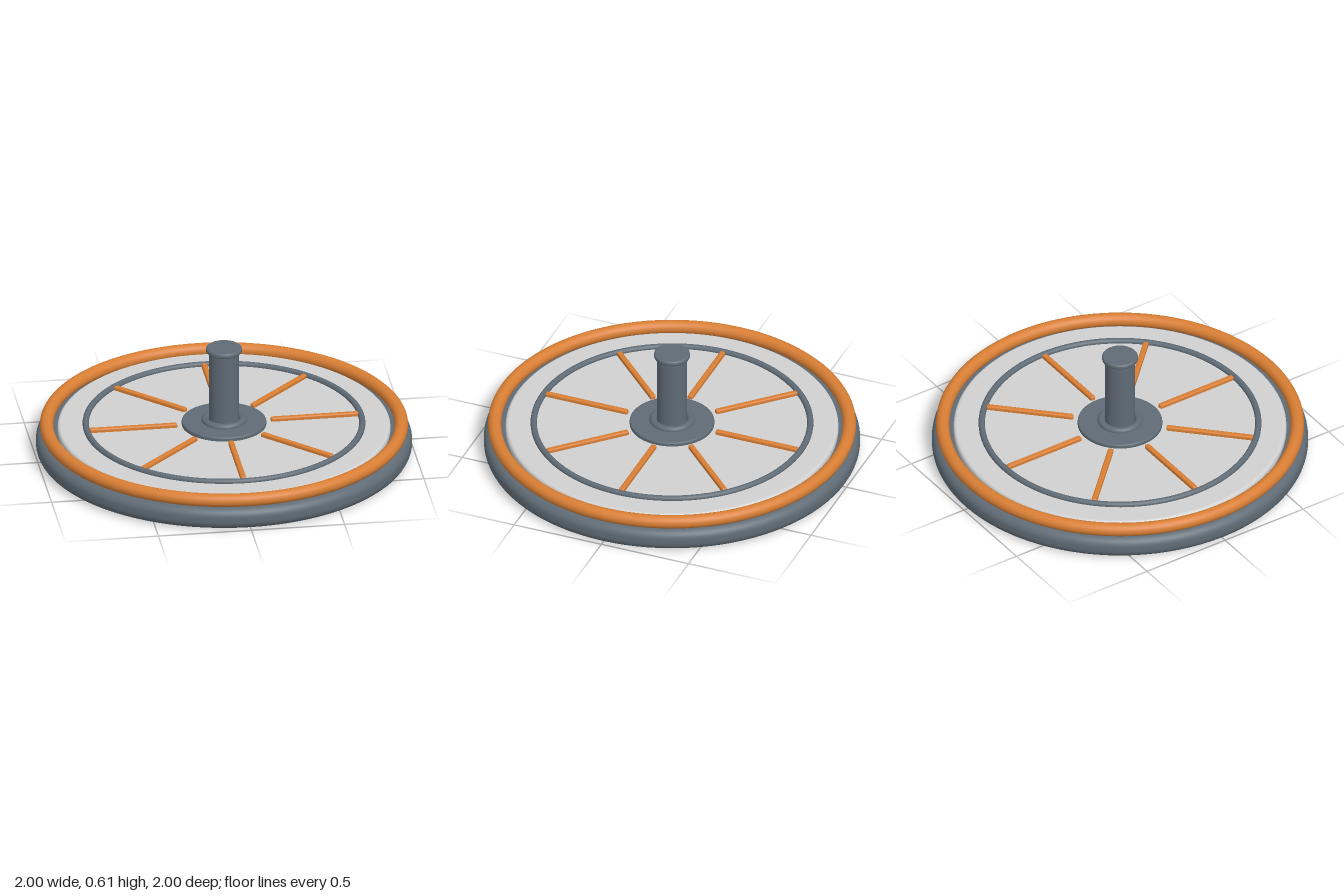
import * as THREE from 'three';
import { RoundedBoxGeometry } from 'three/addons/geometries/RoundedBoxGeometry.js';

const steel = new THREE.MeshStandardMaterial({ color: 0x5f6b75 });
steel.name = 'slate grey';
const orange = new THREE.MeshStandardMaterial({ color: 0xd87e34 });
orange.name = 'orange';
const pale = new THREE.MeshStandardMaterial({ color: 0xd0d0d0 });
pale.name = 'pale grey';

// Solid disc between two heights with rounded rims
function roundedDisc(radius, y0, y1, bevel) {
  const pts = [new THREE.Vector2(0, y0), new THREE.Vector2(radius - bevel, y0)];
  const steps = 8;
  for (let i = 0; i <= steps; i++) {
    const a = -Math.PI / 2 + (i / steps) * Math.PI / 2;
    pts.push(new THREE.Vector2(radius - bevel + Math.cos(a) * bevel, y0 + bevel + Math.sin(a) * bevel));
  }
  for (let i = 0; i <= steps; i++) {
    const a = (i / steps) * Math.PI / 2;
    pts.push(new THREE.Vector2(radius - bevel + Math.cos(a) * bevel, y1 - bevel + Math.sin(a) * bevel));
  }
  pts.push(new THREE.Vector2(0, y1));
  // drop coincident points so normals stay clean
  const clean = pts.filter((p, i) => i === 0 || p.distanceTo(pts[i - 1]) > 1e-5);
  return new THREE.LatheGeometry(clean, 96);
}

function ring(radius, tube) {
  return new THREE.TorusGeometry(radius, tube, 20, 96).rotateX(-Math.PI / 2);
}

export function createModel() {
  const model = new THREE.Group();
  model.name = 'spokedTurntable';
  const add = (name, geometry, material, y = 0) => {
    const mesh = new THREE.Mesh(geometry, material);
    mesh.name = name;
    mesh.position.y = y;
    model.add(mesh);
    return mesh;
  };

  // Base and inlaid plate
  add('base', roundedDisc(1, 0, 0.12, 0.05), steel);
  add('plate', roundedDisc(0.885, 0.11, 0.16, 0.018), pale);

  // Rims
  add('outerRim', ring(0.943, 0.036), orange, 0.154);
  add('innerRing', ring(0.735, 0.017), steel, 0.164);

  // Eight radial spokes
  for (let i = 0; i < 8; i++) {
    const a = (i * Math.PI) / 4;
    const spoke = add('spoke', new RoundedBoxGeometry(0.47, 0.03, 0.03, 3, 0.009), orange, 0.166);
    spoke.position.x = Math.cos(a) * 0.487;
    spoke.position.z = Math.sin(a) * 0.487;
    spoke.rotation.y = -a;
  }

  // Hub, collar, post and cap
  add('hub', roundedDisc(0.225, 0.14, 0.182, 0.008), steel);
  add('collar', ring(0.1, 0.02), steel, 0.184);
  add('post', new THREE.CylinderGeometry(0.079, 0.079, 0.42, 48), steel, 0.38);
  add('cap', roundedDisc(0.096, 0.58, 0.61, 0.012), steel);

  return model;
}
